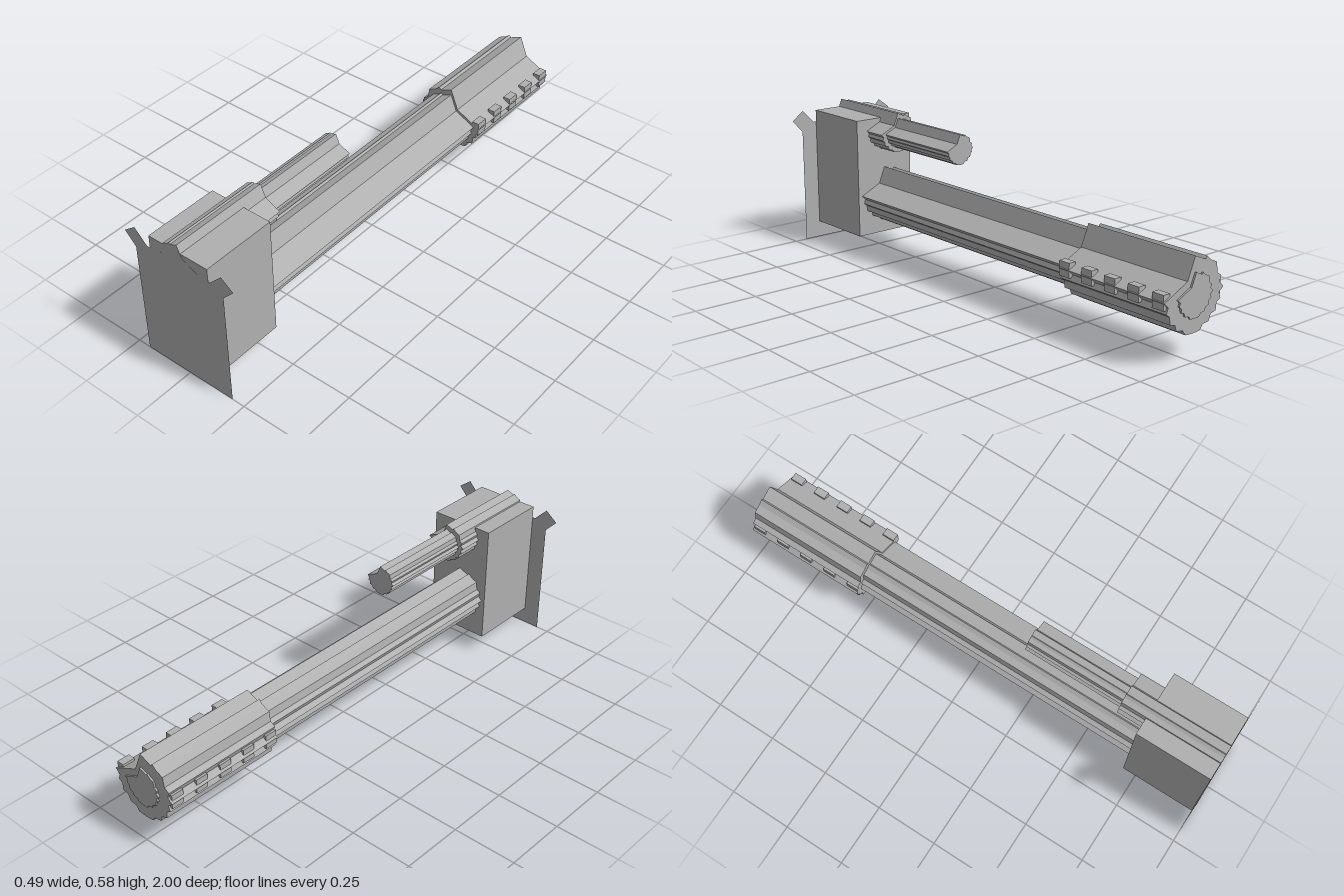
import * as THREE from 'three';

// Ridged, notched cross-section of unit radius, clockwise from the top
const PROFILE = [
  [0, 1], [0.25, 0.4], [1.04, 0.02], [0.9, -0.12], [0.96, -0.28], [0.84, -0.36],
  [0.82, -0.57], [0.64, -0.62], [0.58, -0.79], [0.36, -0.82], [0.26, -0.96], [0, -0.98],
  [-0.26, -0.96], [-0.36, -0.82], [-0.58, -0.79], [-0.64, -0.62], [-0.82, -0.57], [-0.84, -0.36],
  [-0.98, -0.28], [-0.92, -0.12], [-1.07, 0], [-0.92, 0.14], [-0.98, 0.3], [-0.83, 0.4],
  [-0.79, 0.69], [-0.56, 0.79], [-0.43, 0.91], [-0.37, 0.84],
];

export function createModel() {
  const group = new THREE.Group();
  const metal = new THREE.MeshStandardMaterial({ color: 0xb0b0b0 });
  metal.name = 'grey metal';
  metal.flatShading = true;
  const sheet = metal.clone();
  sheet.side = THREE.DoubleSide;

  const add = (name, geometry, material = metal) => {
    const mesh = new THREE.Mesh(geometry, material);
    mesh.name = name;
    group.add(mesh);
    return mesh;
  };

  // Ridged tube running between two z positions
  const tube = (name, radius, y, zBack, zFront) => {
    const shape = new THREE.Shape(PROFILE.map(([px, py]) => new THREE.Vector2(px * radius, py * radius)));
    const geometry = new THREE.ExtrudeGeometry(shape, { depth: zFront - zBack, bevelEnabled: false });
    add(name, geometry).position.set(0, y, zBack);
  };

  // Thin front shield with two angled ears
  const half = [[0.198, 0], [0.198, 0.466], [0.244, 0.515], [0.194, 0.553], [0.142, 0.5]];
  const outline = [...half, ...half.slice().reverse().map(([x, y]) => [-x, y])];
  const shield = new THREE.Shape(outline.map(([x, y]) => new THREE.Vector2(x, y)));
  add('shield', new THREE.ShapeGeometry(shield), sheet).position.z = 1;

  // Housing block behind the shield
  add('housing', new THREE.BoxGeometry(0.262, 0.482, 0.298)).position.set(0, 0.308, 0.849);

  // Main barrel, muzzle sleeve and bore face
  tube('barrel', 0.11, 0.232, -0.5, 0.72);
  tube('muzzle', 0.135, 0.231, -0.993, -0.5);
  tube('bore', 0.08, 0.231, -1, -0.98);

  // Upper, smaller barrel with its collar
  tube('upperCollar', 0.08, 0.5, 0.6, 0.999);
  tube('upperBarrel', 0.06, 0.5, 0.205, 0.62);

  // Rows of vents along both sides of the muzzle
  for (const side of [-1, 1]) {
    for (let i = 0; i < 5; i++) {
      const vent = add('vent', new THREE.BoxGeometry(0.03, 0.055, 0.05));
      vent.position.set(side * 0.122, 0.232, -0.525 - i * 0.109);
    }
  }
  return group;
}
